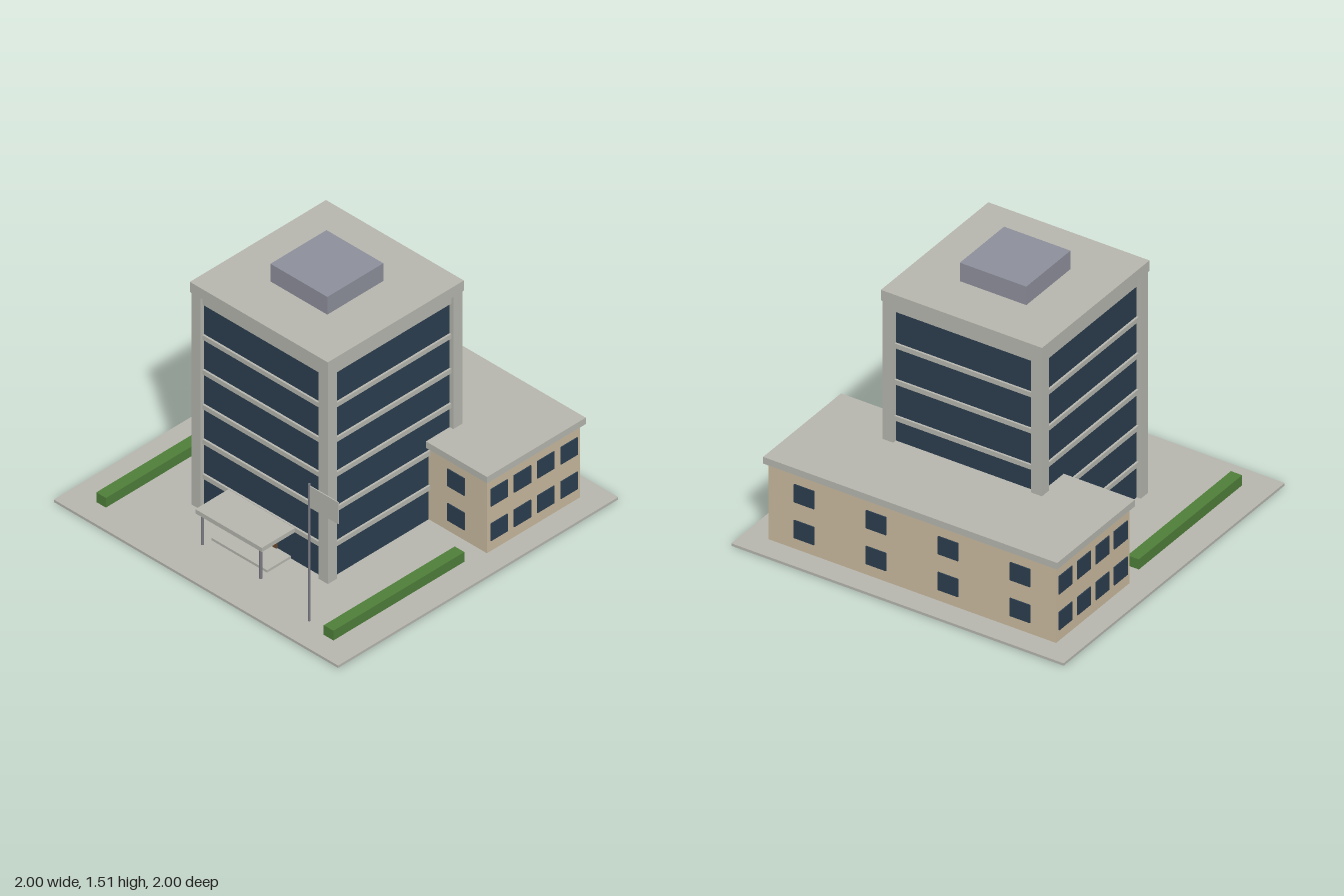
import * as THREE from 'three';

const mat = (name, color) => Object.assign(new THREE.MeshStandardMaterial({ color }), { name });

export function createModel() {
  const concrete = mat('concrete', 0xb8b8b0);
  const glass = mat('glass', 0x2c3e50);
  const wall = mat('sandWall', 0xcbbba0);
  const green = mat('hedgeGreen', 0x4f7f3a);
  const plant = mat('plantGrey', 0x8e909c);
  const wood = mat('doorWood', 0x6b4a2e);
  const metal = mat('metal', 0x7a7a82);

  const model = new THREE.Group();
  model.name = 'officeBuilding';
  const group = (name) => {
    const g = new THREE.Group();
    g.name = name;
    model.add(g);
    return g;
  };
  // Box given by its extents on each axis
  const box = (parent, name, material, [x0, x1], [y0, y1], [z0, z1]) => {
    const mesh = new THREE.Mesh(new THREE.BoxGeometry(x1 - x0, y1 - y0, z1 - z0), material);
    mesh.position.set((x0 + x1) / 2, (y0 + y1) / 2, (z0 + z1) / 2);
    mesh.name = name;
    parent.add(mesh);
  };
  const post = (parent, name, r, x, z, y0, y1) => {
    const mesh = new THREE.Mesh(new THREE.CylinderGeometry(r, r, y1 - y0, 12), metal);
    mesh.position.set(x, (y0 + y1) / 2, z);
    mesh.name = name;
    parent.add(mesh);
  };

  const ground = 0.015;
  box(model, 'plaza', concrete, [-1, 1], [0, ground], [-1, 1]);

  // Tower: glass core, corner columns, floor bands, roof slab, plant room
  const tower = group('tower');
  const cz = 0.065;
  const span = (h, c = 0) => [c - h, c + h];
  box(tower, 'glassCore', glass, span(0.455), [ground, 1.335], span(0.455, cz));
  for (const sx of [-1, 1]) for (const sz of [-1, 1]) {
    box(tower, 'cornerColumn', concrete, span(0.0325, sx * 0.4475), [ground, 1.337],
      span(0.0325, cz + sz * 0.4475));
  }
  for (let i = 1; i <= 6; i++) {
    const y = ground + i * 0.216;
    const extent = i < 6 ? [y - 0.028, y] : [y - 0.026, 1.337];
    box(tower, 'floorBand', concrete, span(0.467), extent, span(0.467, cz));
  }
  box(tower, 'roofSlab', concrete, span(0.485), [1.337, 1.4], span(0.486, cz));
  box(tower, 'plantRoom', plant, span(0.2), [1.4, 1.51], span(0.2, cz));

  // Low rear wing with its windows
  const wing = group('rearWing');
  const back = -0.865, front = -0.2, side = 0.865;
  box(wing, 'wingWalls', wall, span(side), [ground, 0.47], [back, front]);
  box(wing, 'wingRoof', concrete, span(0.885), [0.47, 0.51], [-0.885, -0.18]);
  for (const y of [0.134, 0.348]) {
    const rows = span(0.0535, y);
    for (let i = 0; i < 4; i++) {
      const x = -0.65 + i * 0.4333;
      const z = -0.284 - i * 0.1665;
      box(wing, 'backWindow', glass, span(0.06, x), rows, [back - 0.006, back + 0.002]);
      if (i === 0 || i === 3) {
        box(wing, 'frontWindow', glass, span(0.06, x), rows, [front - 0.002, front + 0.006]);
      }
      for (const s of [-1, 1]) {
        box(wing, 'sideWindow', glass, span(0.004, s * (side + 0.002)), rows, span(0.06, z));
      }
    }
  }

  // Entrance: step, door, canopy on two posts
  const entrance = group('entrance');
  box(entrance, 'step', concrete, span(0.195), [ground, 0.03], [0.52, 0.69]);
  box(entrance, 'door', wood, span(0.1), [0.03, 0.175], [0.519, 0.528]);
  box(entrance, 'canopy', concrete, span(0.234), [0.203, 0.229], [0.525, 0.767]);
  for (const s of [-1, 1]) post(entrance, 'canopyPost', 0.009, s * 0.205, 0.745, ground, 0.203);

  // Hedges along both sides
  for (const s of [-1, 1]) {
    box(model, 'hedge', green, span(0.034, s * 0.8), [ground, 0.075], [-0.07, 0.865]);
  }

  // Flagpole with a plain flag
  const flag = group('flagpole');
  post(flag, 'pole', 0.007, 0.63, 0.83, ground, 0.866);
  box(flag, 'flag', concrete, [0.634, 0.835], [0.722, 0.856], span(0.003, 0.83));

  return model;
}
